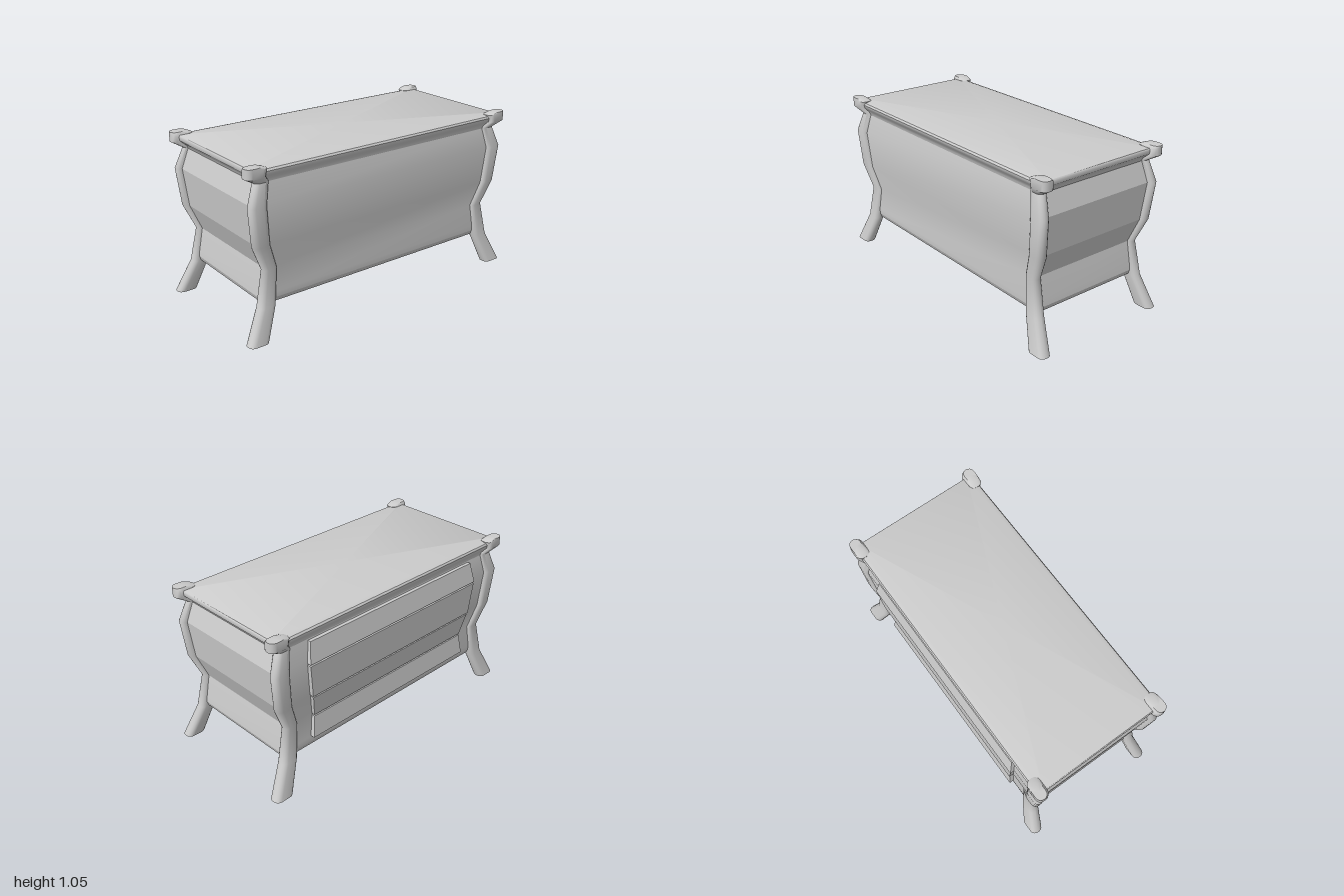
import * as THREE from 'three';
import { toCreasedNormals } from 'three/addons/utils/BufferGeometryUtils.js';

const material = new THREE.MeshStandardMaterial({ color: 0xcccccc });

// Skin over stacked rounded rectangles; levels are [y, xMin, xMax, zMin, zMax], bottom to top.
function loft(levels, radius, crease) {
  const steps = radius > 0 ? 5 : 1;
  const n = steps * 4;
  const pos = [];
  const idx = [];
  for (const [y, x0, x1, z0, z1] of levels) {
    const r = Math.min(radius, (x1 - x0) / 2, (z1 - z0) / 2);
    const corners = [[x1 - r, z1 - r], [x0 + r, z1 - r], [x0 + r, z0 + r], [x1 - r, z0 + r]];
    corners.forEach(([cx, cz], c) => {
      for (let s = 0; s < steps; s++) {
        const a = (c + (steps > 1 ? s / (steps - 1) : 0)) * Math.PI / 2;
        pos.push(cx + r * Math.cos(a), y, cz + r * Math.sin(a));
      }
    });
  }
  const ends = [levels[0], levels[levels.length - 1]];
  for (const [y, x0, x1, z0, z1] of ends) pos.push((x0 + x1) / 2, y, (z0 + z1) / 2);
  const bottom = levels.length * n;
  const last = bottom - n;
  for (let i = 0; i < n; i++) {
    const j = (i + 1) % n;
    for (let l = 0; l < levels.length - 1; l++) {
      const a = l * n + i, b = l * n + j;
      idx.push(a, a + n, b, a + n, b + n, b);
    }
    idx.push(bottom, i, j, bottom + 1, last + j, last + i);
  }
  const geo = new THREE.BufferGeometry();
  geo.setAttribute('position', new THREE.Float32BufferAttribute(pos, 3));
  geo.setIndex(idx);
  return toCreasedNormals(geo, crease);
}

export function createModel() {
  const root = new THREE.Group();
  root.name = 'chestOfDrawers';
  const add = (name, geo) => {
    const mesh = new THREE.Mesh(geo, material);
    mesh.name = name;
    root.add(mesh);
  };

  // Bulging case: [y, half width, half depth]
  const body = [
    [0.195, 0.835, 0.365], [0.205, 0.855, 0.382], [0.235, 0.866, 0.396], [0.27, 0.862, 0.399],
    [0.42, 0.835, 0.387], [0.58, 0.9, 0.415], [0.82, 0.925, 0.43], [0.95, 0.885, 0.408],
  ];
  add('body', loft(body.map(([y, x, z]) => [y, -x, x, -z, z]), 0, 0.27));

  // Top board with a softly rounded edge
  const top = [
    [0.945, 0.885, 0.408], [0.965, 0.892, 0.412], [0.985, 0.915, 0.426],
    [1.0, 0.932, 0.435], [1.015, 0.935, 0.438], [1.027, 0.934, 0.43], [1.034, 0.93, 0.405],
  ];
  add('topBoard', loft(top.map(([y, x, z]) => [y, -x, x, -z, z]), 0.01, 0.7));

  // Corner posts running from splayed foot to cap: [y, x inner, x outer, z inner, z outer]
  const post = [
    [0, 0.87, 1.0, 0.39, 0.47], [0.2, 0.79, 0.905, 0.355, 0.427], [0.42, 0.765, 0.86, 0.35, 0.407],
    [0.58, 0.82, 0.93, 0.37, 0.437], [0.82, 0.84, 0.955, 0.385, 0.45], [0.95, 0.81, 0.905, 0.365, 0.425],
    [0.99, 0.845, 0.972, 0.375, 0.457], [1.036, 0.835, 0.972, 0.375, 0.457], [1.05, 0.87, 0.972, 0.387, 0.457],
  ];
  for (const sx of [1, -1]) {
    for (const sz of [1, -1]) {
      const levels = post.map(([y, xi, xo, zi, zo]) => [
        y, Math.min(sx * xi, sx * xo), Math.max(sx * xi, sx * xo),
        Math.min(sz * zi, sz * zo), Math.max(sz * zi, sz * zo),
      ]);
      add((sz > 0 ? 'front' : 'back') + (sx > 0 ? 'Left' : 'Right') + 'Post', loft(levels, 0.034, 0.75));
    }
  }

  // Drawer fronts on the back face: [y, half width, depth] at lower and upper edge
  const drawers = [
    [[0.28, 0.67, 0.426], [0.415, 0.65, 0.41]],
    [[0.425, 0.65, 0.411], [0.573, 0.68, 0.44]],
    [[0.585, 0.685, 0.444], [0.798, 0.708, 0.455]],
    [[0.81, 0.71, 0.457], [0.94, 0.685, 0.432]],
  ];
  drawers.forEach((edges, i) => {
    add('drawer' + (i + 1), loft(edges.map(([y, w, z]) => [y, -w, w, -z, -0.37]), 0, 0.2));
  });

  return root;
}
